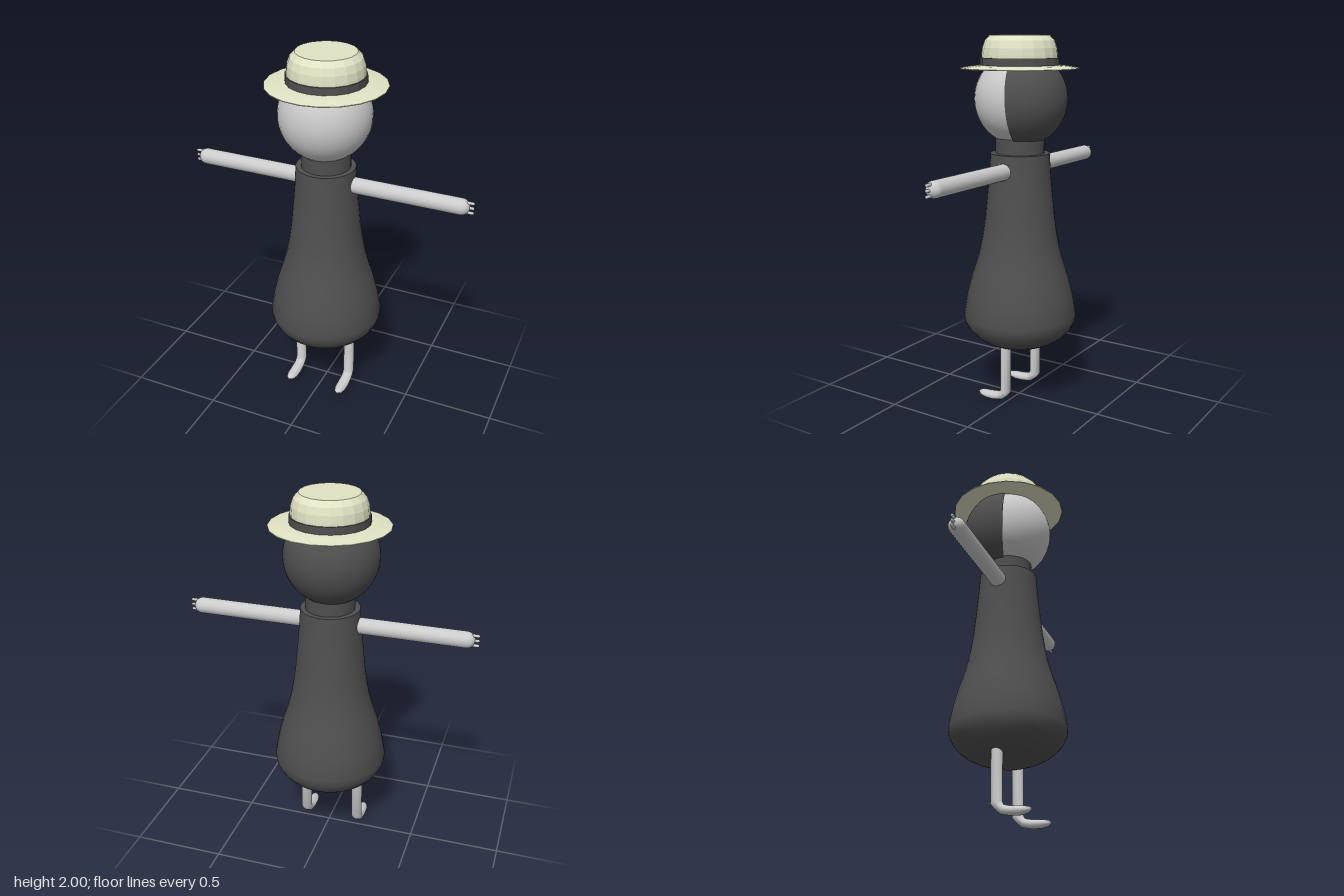
import * as THREE from 'three';
import { toCreasedNormals } from 'three/addons/utils/BufferGeometryUtils.js';

const material = (color, extra = {}) => new THREE.MeshStandardMaterial({ color, ...extra });
const skin = material(0xcccccc);
const dark = material(0x4f4f4f);
const hairMat = material(0x4f4f4f, { side: THREE.DoubleSide });
const straw = material(0xe0e3c4, { flatShading: true });
const bandMat = material(0x4f4f4f, { flatShading: true });

function add(parent, name, geometry, mat, x = 0, y = 0, z = 0) {
  const mesh = new THREE.Mesh(geometry, mat);
  mesh.name = name;
  mesh.position.set(x, y, z);
  parent.add(mesh);
  return mesh;
}

// Lathe from [radius, height] pairs, listed bottom to top
const lathe = (points, sides) =>
  new THREE.LatheGeometry(points.map(([r, y]) => new THREE.Vector2(r, y)), sides);

// Leg and foot: oval rings, each given by its front/top point, back/bottom point and half width
function legGeometry() {
  const rings = [
    [0.03, 0.42, -0.03, 0.42, 0.03], [0.03, 0.075, -0.03, 0.065, 0.03],
    [0.037, 0.06, -0.01, 0.04, 0.03], [0.055, 0.054, 0.02, 0.014, 0.03],
    [0.09, 0.048, 0.07, 0.003, 0.032], [0.14, 0.045, 0.12, 0.001, 0.03],
    [0.166, 0.039, 0.155, 0.008, 0.022], [0.18, 0.03, 0.178, 0.022, 0.005],
  ];
  const sides = 16, pos = [], index = [];
  for (const [az, ay, bz, by, w] of rings) {
    for (let i = 0; i < sides; i++) {
      const a = (i / sides) * Math.PI * 2, c = Math.cos(a) / 2;
      pos.push(Math.sin(a) * w, (ay + by) / 2 + c * (ay - by), (az + bz) / 2 + c * (az - bz));
    }
  }
  for (let r = 0; r < rings.length - 1; r++) {
    for (let i = 0; i < sides; i++) {
      const a = r * sides + i, b = r * sides + (i + 1) % sides;
      index.push(a, a + sides, b, b, a + sides, b + sides);
    }
  }
  const last = (rings.length - 1) * sides;
  for (let i = 1; i < sides - 1; i++) {
    index.push(0, i, i + 1); // hip cap
    index.push(last, last + i + 1, last + i); // toe cap
  }
  const g = new THREE.BufferGeometry();
  g.setAttribute('position', new THREE.Float32BufferAttribute(pos, 3));
  g.setIndex(index);
  g.computeVertexNormals();
  return toCreasedNormals(g, 0.9);
}

export function createModel() {
  const model = new THREE.Group();
  model.name = 'figure';

  // Flared dress with a rounded underside
  const hem = [];
  for (let i = 0; i <= 8; i++) {
    const a = (i / 8) * Math.PI / 2;
    hem.push([0.312 * Math.sin(a), 0.49 - 0.195 * Math.cos(a)]);
  }
  const dress = lathe([...hem, [0.292, 0.6], [0.266, 0.7], [0.24, 0.78], [0.218, 0.86], [0.203, 0.94],
    [0.19, 1.03], [0.175, 1.18], [0.166, 1.28], [0.159, 1.385], [0, 1.385]], 32);
  add(model, 'dress', toCreasedNormals(dress, 0.6), dark, -0.007);
  add(model, 'neck', new THREE.CylinderGeometry(0.131, 0.131, 0.12, 32), dark, -0.006, 1.42);

  // Head, with the hair as a turned half shell behind it
  add(model, 'head', new THREE.SphereGeometry(0.244, 40, 28), skin, -0.011, 1.67);
  const hair = add(model, 'hair',
    new THREE.SphereGeometry(0.25, 32, 28, Math.PI, Math.PI), hairMat, -0.013, 1.67);
  hair.rotation.set(0.04, 0.24, 0);

  // Straw hat
  const hat = new THREE.Group();
  hat.name = 'hat';
  hat.position.x = -0.005;
  model.add(hat);
  add(hat, 'brim', lathe([[0, 1.832], [0.2, 1.832], [0.315, 1.828], [0.315, 1.832], [0.25, 1.843],
    [0.19, 1.848]], 20), straw);
  add(hat, 'hatBand', lathe([[0.19, 1.843], [0.208, 1.843], [0.207, 1.885], [0.19, 1.885]], 20), bandMat);
  add(hat, 'crown', lathe([[0.202, 1.86], [0.2, 1.9], [0.196, 1.935], [0.183, 1.972], [0.157, 2],
    [0, 2]], 20), straw);

  for (const side of [-1, 1]) {
    const label = side > 0 ? 'left' : 'right';

    // Straight arm with three short fingers
    const arm = new THREE.Group();
    arm.name = label + 'Arm';
    arm.position.y = 1.3;
    model.add(arm);
    const limb = add(arm, 'arm', new THREE.CapsuleGeometry(0.044, 0.632, 8, 20), skin, side * 0.412);
    limb.rotation.z = Math.PI / 2;
    for (const dy of [-0.027, 0, 0.027]) {
      const finger = add(arm, 'finger', new THREE.CapsuleGeometry(0.0085, 0.045, 4, 10), skin, side * 0.764, dy);
      finger.rotation.z = Math.PI / 2;
    }

    add(model, label + 'Leg', legGeometry(), skin, -0.015 + side * 0.154);
  }
  return model;
}
